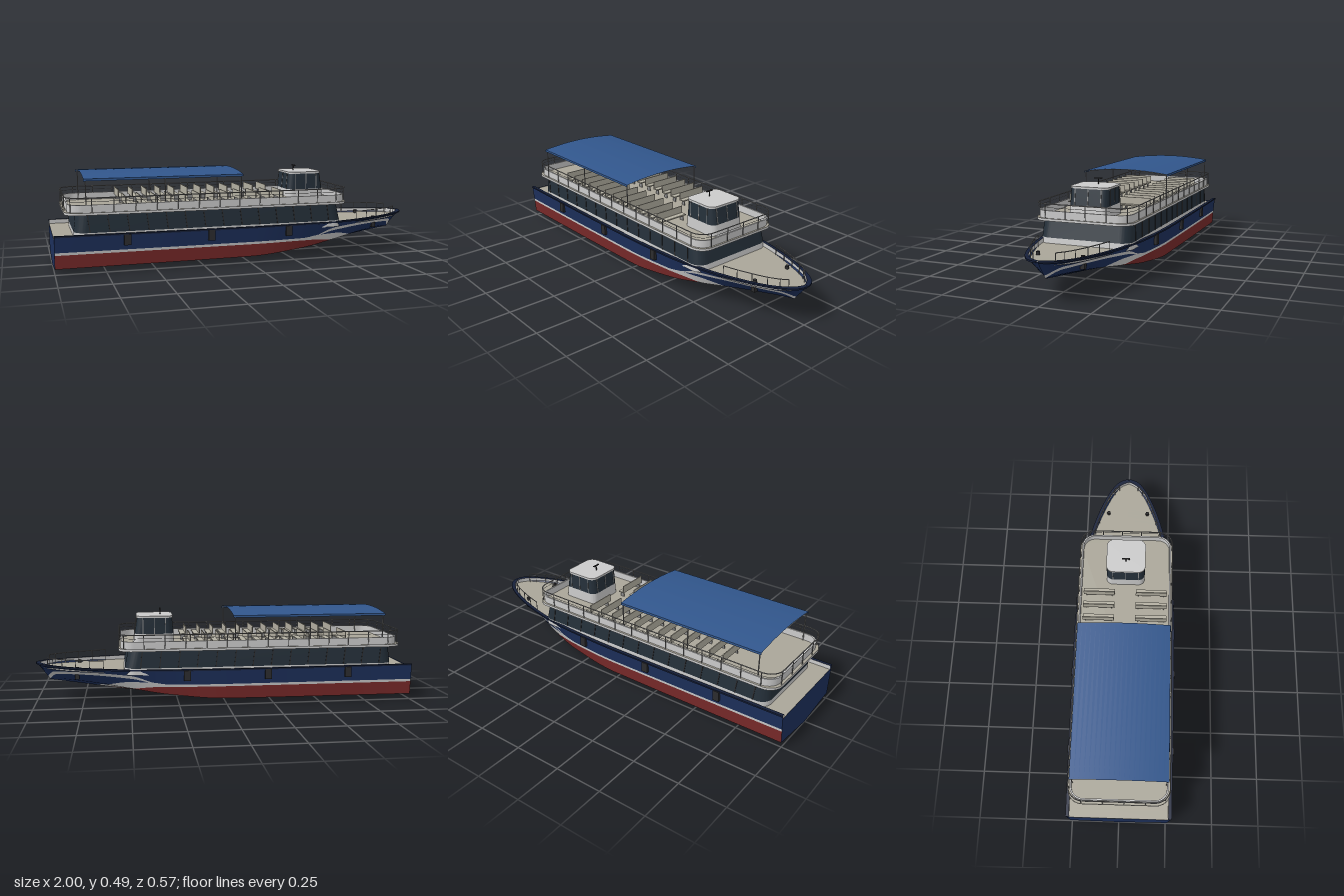
import * as THREE from 'three';
import { toCreasedNormals } from 'three/addons/utils/BufferGeometryUtils.js';

const mat = (color, side = THREE.DoubleSide) => new THREE.MeshStandardMaterial({ color, side });
const M = {
  navy: mat(0x1d305c), red: mat(0x7a2a2a), white: mat(0xcccccc), deck: mat(0xaaa699), glass: mat(0x25303a),
  canopy: mat(0x31568c), dark: mat(0x2c2c2e), metal: mat(0x8c8c8c), seat: mat(0xb4b0a2), trim: mat(0x16203a),
};

function add(parent, name, geo, material, x = 0, y = 0, z = 0) {
  const m = new THREE.Mesh(geo, material);
  m.name = name;
  m.position.set(x, y, z);
  parent.add(m);
  return m;
}
const box = (p, name, m, w, h, d, x, y, z) => add(p, name, new THREE.BoxGeometry(w, h, d), m, x, y, z);
const post = (p, name, x, y0, y1, z, r = 0.0025, m = M.metal) =>
  add(p, name, new THREE.CylinderGeometry(r, r, y1 - y0, 6), m, x, (y0 + y1) / 2, z);

// Smooth interpolation through [u, value] pairs
function curve(pts) {
  const n = pts.length;
  const sec = i => (pts[i + 1][1] - pts[i][1]) / (pts[i + 1][0] - pts[i][0]);
  const slope = i => {
    if (i === 0) return sec(0);
    if (i === n - 1) return sec(n - 2);
    const a = sec(i - 1), b = sec(i);
    return a * b <= 0 ? 0 : 2 * a * b / (a + b);
  };
  return u => {
    let i = 0;
    while (i < n - 2 && u > pts[i + 1][0]) i++;
    const h = pts[i + 1][0] - pts[i][0], t = THREE.MathUtils.clamp((u - pts[i][0]) / h, 0, 1);
    const a = t * t * (3 - 2 * t);
    return pts[i][1] * (1 - a) + pts[i + 1][1] * a + h * (t * (1 - t) ** 2 * slope(i) - t * t * (1 - t) * slope(i + 1));
  };
}

// Surface skinned through rows of points
function skin(rows, crease = 0.5) {
  const pos = [];
  const tri = (a, b, c) => {
    const area = b.clone().sub(a).cross(c.clone().sub(a)).length();
    if (area > 1e-9) for (const p of [a, b, c]) pos.push(p.x, p.y, p.z);
  };
  for (let i = 0; i + 1 < rows.length; i++) for (let j = 0; j + 1 < rows[i].length; j++) {
    const [a, b, c, d] = [rows[i][j], rows[i + 1][j], rows[i + 1][j + 1], rows[i][j + 1]];
    tri(a, b, c);
    tri(a, c, d);
  }
  const g = new THREE.BufferGeometry();
  g.setAttribute('position', new THREE.Float32BufferAttribute(pos, 3));
  return toCreasedNormals(g, crease);
}

// Hull lines, by station u from stern to stem
const END = 0.93;
const keel = curve([[-1, 0], [-0.05, 0], [0.2, 0.011], [0.5, 0.042], [0.7, 0.073], [END, 0.11]]);
const chineY = curve([[-1, 0.03], [0, 0.034], [0.3, 0.058], [0.5, 0.086], [0.7, 0.11], [0.85, 0.118], [END, 0.112]]);
const chineZ = curve([[-1, 0.256], [0, 0.258], [0.3, 0.235], [0.5, 0.19], [0.7, 0.11], [0.85, 0.043], [END, 0]]);
const sheerY = curve([[-1, 0.194], [0, 0.192], [0.5, 0.192], [0.75, 0.196], [END, 0.203]]);
const sheerZ = curve([[-1, 0.27], [-0.5, 0.275], [0, 0.277], [0.3, 0.265], [0.5, 0.24], [0.65, 0.2], [0.8, 0.135], [0.88, 0.082], [0.915, 0.043], [END, 0]]);
// Paint lines
const redTop = curve([[-1, 0.099], [0.2, 0.1], [0.37, 0.098], [0.5, 0.082], [0.62, 0.062], [END, 0.05]]);
const whiteTop = curve([[-1, 0.112], [0.3, 0.113], [0.4, 0.124], [0.5, 0.124], [0.62, 0.1], [0.7, 0.073], [END, 0.06]]);
const swooshLow = curve([[-1, 0.1], [0.34, 0.113], [0.5, 0.143], [0.7, 0.156], [0.85, 0.149], [END, 0.112]]);
const swooshTop = curve([[-1, 0.1], [0.34, 0.113], [0.5, 0.159], [0.7, 0.171], [0.85, 0.166], [END, 0.127]]);

function hullPoint(u, y) {
  const k = keel(u), c = chineY(u), s = sheerY(u);
  const z = y <= c ? chineZ(u) * (y - k) / (c - k) : THREE.MathUtils.lerp(chineZ(u), sheerZ(u), (y - c) / (s - c));
  const rake = 0.07 * THREE.MathUtils.smoothstep(u, 0.45, END);
  return new THREE.Vector3(u + rake * (y - k) / (s - k), y, z);
}
const stations = Array.from({ length: 71 }, (_, i) => -1 + (END + 1) * (1 - (1 - i / 70) ** 1.5));
const rim = (u, inset, drop) => {
  const p = hullPoint(u, sheerY(u));
  return new THREE.Vector3(p.x - inset * THREE.MathUtils.smoothstep(u, 0.8, END), p.y - drop, Math.max(0, p.z - inset));
};

function hullSide() {
  const side = new THREE.Group();
  side.name = 'hullSide';
  const lines = u => {
    const ys = [keel(u)];
    for (const f of [redTop, whiteTop, swooshLow, swooshTop, sheerY]) ys.push(Math.min(sheerY(u), Math.max(ys[ys.length - 1], f(u))));
    return ys;
  };
  const bands = [['bottomPaint', M.red], ['waterlineStripe', M.white], ['lowerTopsides', M.navy], ['bowSwoosh', M.white], ['topsides', M.navy]];
  bands.forEach(([name, m], b) => add(side, name, skin(stations.map(u => {
    const y = lines(u);
    return [y[b], THREE.MathUtils.clamp(chineY(u), y[b], y[b + 1]), y[b + 1]].map(v => hullPoint(u, v));
  })), m));
  add(side, 'gunwale', skin(stations.map(u => [rim(u, -0.004, 0.006), rim(u, -0.004, -0.002), rim(u, 0.014, -0.002)])), M.trim);
  add(side, 'bulwarkInside', skin(stations.map(u => [rim(u, 0.014, -0.002), rim(u, 0.014, 0.02)])), M.white);
  add(side, 'mainDeck', skin(stations.map(u => {
    const p = rim(u, 0.014, 0.02);
    return [p, new THREE.Vector3(p.x, p.y, 0)];
  })), M.deck);
  const edge = [keel(-1), chineY(-1), sheerY(-1) - 0.016].map(y => hullPoint(-1, y));
  add(side, 'transom', skin([edge, edge.map(p => new THREE.Vector3(p.x, p.y, 0))]), M.navy);
  // Fenders, bow rail and bollard
  for (const x of [-0.645, -0.215, 0.21]) box(side, 'fender', M.dark, 0.034, 0.054, 0.016, x, 0.163, sheerZ(x) + 0.001);
  box(side, 'bowFender', M.dark, 0.022, 0.026, 0.022, 0.78, 0.142, 0.115);
  add(side, 'bollard', new THREE.CylinderGeometry(0.01, 0.01, 0.018, 10), M.dark, 0.78, 0.183, 0.115);
  const railPts = [0.62, 0.68, 0.74, 0.8, 0.85, 0.885].map(u => rim(u, 0.022, 0));
  railPts.forEach(p => post(side, 'bowRailPost', p.x, 0.175, 0.234, p.z, 0.002));
  add(side, 'bowRail', new THREE.TubeGeometry(new THREE.CatmullRomCurve3(railPts.map(p => new THREE.Vector3(p.x, 0.234, p.z))), 30, 0.0025, 6), M.metal);
  return side;
}

// Rounded rectangle in plan
function plan(x0, x1, hz, r) {
  const s = new THREE.Shape();
  s.absarc(x1 - r, hz - r, r, Math.PI / 2, 0, true);
  s.absarc(x1 - r, r - hz, r, 0, -Math.PI / 2, true);
  s.absarc(x0 + r, r - hz, r, -Math.PI / 2, -Math.PI, true);
  s.absarc(x0 + r, hz - r, r, Math.PI, Math.PI / 2, true);
  s.closePath();
  return s;
}
const ring = ([y, ...a]) => plan(...a).getPoints(8).map(p => new THREE.Vector3(p.x, y, p.y));
const walls = (p, name, m, ...levels) => add(p, name, skin(levels.map(ring), 0.6), m);
function slab(p, name, m, y0, y1, ...a) {
  const g = new THREE.ExtrudeGeometry(plan(...a), { depth: y1 - y0, bevelEnabled: false, curveSegments: 8 });
  return add(p, name, toCreasedNormals(g.rotateX(Math.PI / 2), 0.6), m, 0, y1, 0);
}

export function createModel() {
  const boat = new THREE.Group();
  boat.name = 'passengerBoat';
  const left = hullSide(), right = hullSide();
  right.scale.z = -1;
  boat.add(left, right);

  // Saloon with window mullions
  const saloon = new THREE.Group();
  saloon.name = 'saloon';
  walls(saloon, 'saloonSill', M.white, [0.165, -0.9, 0.535, 0.246, 0.06], [0.2, -0.9, 0.53, 0.245, 0.06]);
  walls(saloon, 'saloonWindows', M.glass, [0.2, -0.9, 0.53, 0.245, 0.06], [0.292, -0.89, 0.51, 0.24, 0.06]);
  for (const s of [1, -1]) for (let i = 0; i < 14; i++) {
    const m = box(saloon, 'mullion', M.dark, 0.005, 0.092, 0.003, -0.83 + i * 0.098, 0.246, s * 0.2435);
    m.rotation.set(-s * 0.054, 0, 0.12);
  }
  boat.add(saloon);

  // Upper deck, parapet and railing
  const upper = new THREE.Group();
  upper.name = 'upperDeck';
  slab(upper, 'upperDeckFloor', M.deck, 0.292, 0.302, -0.945, 0.56, 0.261, 0.075);
  walls(upper, 'deckEdge', M.white, [0.29, -0.946, 0.561, 0.262, 0.075], [0.303, -0.946, 0.561, 0.262, 0.075]);
  walls(upper, 'parapet', M.white, [0.3, -0.93, 0.55, 0.25, 0.07], [0.34, -0.93, 0.55, 0.25, 0.07],
    [0.34, -0.922, 0.542, 0.242, 0.063], [0.3, -0.922, 0.542, 0.242, 0.063]);
  const path = plan(-0.94, 0.557, 0.256, 0.074);
  const line = path.getSpacedPoints(160).slice(0, -1);
  for (const y of [0.375, 0.357]) add(upper, 'handrail', new THREE.TubeGeometry(
    new THREE.CatmullRomCurve3(line.map(p => new THREE.Vector3(p.x, y, p.y)), true), 200, y > 0.36 ? 0.003 : 0.0012, 6, true), M.metal);
  path.getSpacedPoints(36).slice(0, -1).forEach(p => post(upper, 'railPost', p.x, 0.3, 0.375, p.y));
  boat.add(upper);

  // Bench rows
  for (let i = 0; i < 12; i++) for (const s of [1, -1]) {
    const bench = new THREE.Group();
    bench.name = 'bench';
    bench.position.set(0.205 - i * 0.0755, 0.302, s * 0.143);
    box(bench, 'benchSeat', M.seat, 0.032, 0.006, 0.17, 0, 0.03, 0);
    box(bench, 'benchBack', M.seat, 0.005, 0.042, 0.17, -0.016, 0.049, 0);
    for (const e of [1, -1]) box(bench, 'benchLeg', M.metal, 0.024, 0.028, 0.004, 0, 0.014, e * 0.07);
    boat.add(bench);
  }

  // Wheelhouse with mast
  const house = new THREE.Group();
  house.name = 'wheelhouse';
  walls(house, 'wheelhouseBase', M.white, [0.302, 0.264, 0.482, 0.106, 0.035], [0.36, 0.267, 0.474, 0.105, 0.035]);
  walls(house, 'wheelhouseWindows', M.glass, [0.36, 0.267, 0.474, 0.105, 0.035], [0.445, 0.274, 0.46, 0.103, 0.035]);
  slab(house, 'wheelhouseRoof', M.white, 0.445, 0.455, 0.27, 0.464, 0.106, 0.037);
  for (const z of [-0.07, 0, 0.07]) {
    box(house, 'frontMullion', M.metal, 0.003, 0.086, 0.004, 0.468, 0.403, z).rotation.z = 0.163;
    box(house, 'rearMullion', M.metal, 0.003, 0.086, 0.004, 0.27, 0.403, z).rotation.z = -0.082;
  }
  for (const s of [1, -1]) for (const x of [0.31, 0.37, 0.43]) box(house, 'sideMullion', M.metal, 0.004, 0.086, 0.003, x, 0.403, s * 0.104);
  post(house, 'mast', 0.335, 0.455, 0.483, 0, 0.003, M.dark);
  box(house, 'radarBar', M.dark, 0.008, 0.005, 0.042, 0.335, 0.484, 0);
  boat.add(house);

  // Arched canopy on posts
  const awning = new THREE.Group();
  awning.name = 'canopy';
  const arch = Array.from({ length: 21 }, (_, i) => i / 10 - 1).map(t => [0.486 - 0.018 * t * t, t * 0.245]);
  const section = [[0.457, -0.246], ...arch, [0.457, 0.246]];
  add(awning, 'canopyCloth', skin([-0.85, -0.035].map(x => section.map(([y, z]) => new THREE.Vector3(x, y, z)))), M.canopy);
  for (const x of [-0.84, -0.445, -0.045]) {
    for (const s of [1, -1]) post(awning, 'canopyPost', x, 0.302, 0.468, s * 0.239, 0.003);
    const hoop = new THREE.CatmullRomCurve3(arch.map(([y, z]) => new THREE.Vector3(x, y - 0.003, z * 0.99)));
    add(awning, 'canopyHoop', new THREE.TubeGeometry(hoop, 24, 0.002, 5), M.metal);
  }
  boat.add(awning);
  return boat;
}
